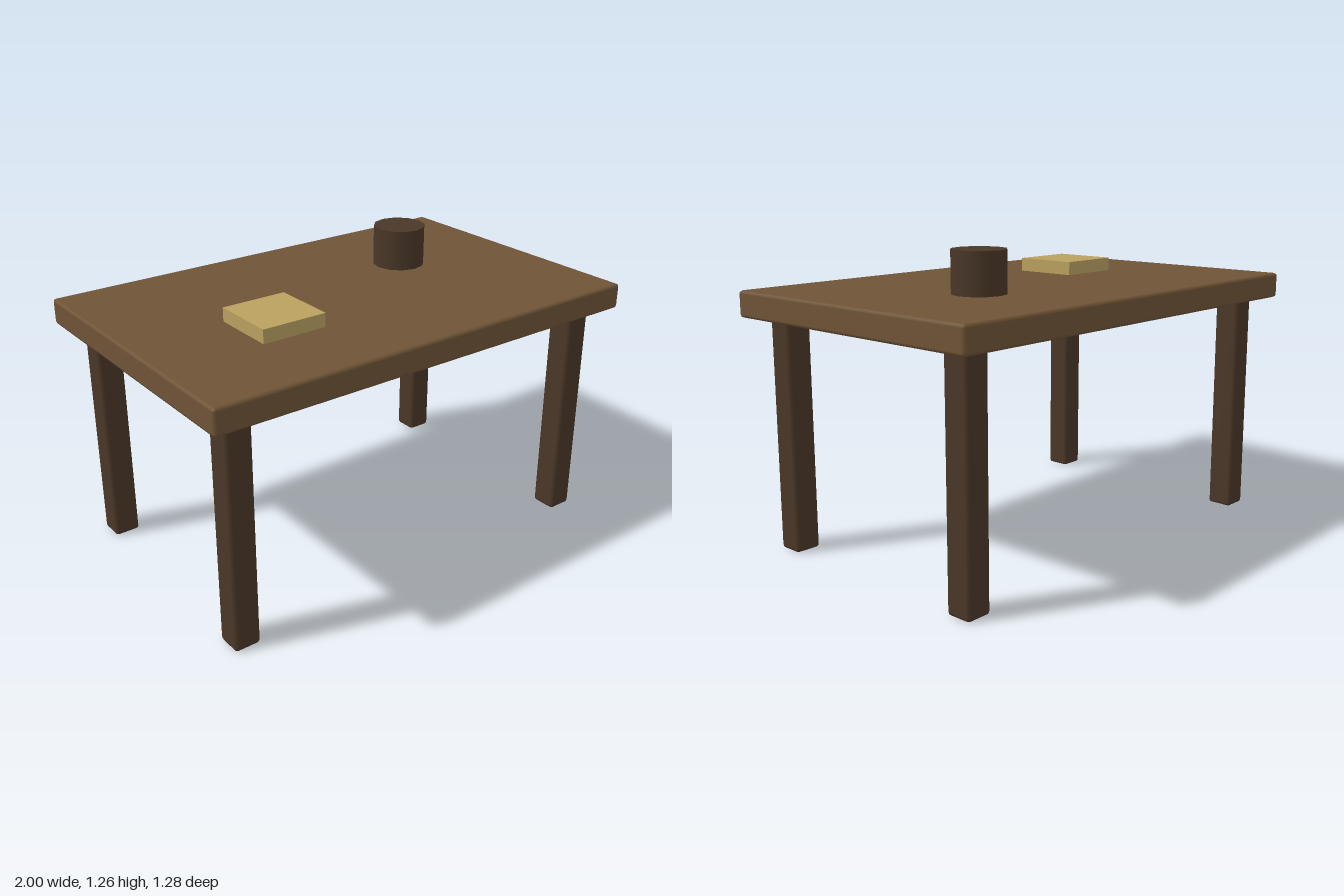
import * as THREE from 'three';
import { RoundedBoxGeometry } from 'three/addons/geometries/RoundedBoxGeometry.js';

const wood = new THREE.MeshStandardMaterial({ color: 0x6f5436 });
const darkWood = new THREE.MeshStandardMaterial({ color: 0x4a3728 });
const paper = new THREE.MeshStandardMaterial({ color: 0xbaa160 });

export function createModel() {
  const model = new THREE.Group();
  model.name = 'table';

  const add = (name, geometry, material, x, y, z) => {
    const mesh = new THREE.Mesh(geometry, material);
    mesh.name = name;
    mesh.position.set(x, y, z);
    model.add(mesh);
  };

  // Table top with a narrow bevel
  const topY = 1.086, topThickness = 0.11;
  const underside = topY - topThickness;
  add('tableTop', new RoundedBoxGeometry(2, topThickness, 1.28, 1, 0.014), wood, 0, topY - topThickness / 2, 0);

  // Four square legs, one under each corner
  const legGeometry = new RoundedBoxGeometry(0.112, underside + 0.003, 0.112, 1, 0.014);
  for (const [side, sx] of [['Left', 1], ['Right', -1]]) {
    for (const [end, sz] of [['front', 1], ['back', -1]]) {
      add(`${end}${side}Leg`, legGeometry, darkWood, sx * 0.856, (underside + 0.003) / 2, sz * 0.5);
    }
  }

  // Mug and small book resting on the top
  const mugHeight = 0.174, bookHeight = 0.058;
  add('mug', new THREE.CylinderGeometry(0.113, 0.113, mugHeight, 12), darkWood, 0.428, topY + mugHeight / 2, -0.143);
  add('book', new THREE.BoxGeometry(0.284, bookHeight, 0.284), paper, -0.43, topY + bookHeight / 2, 0.143);

  return model;
}
